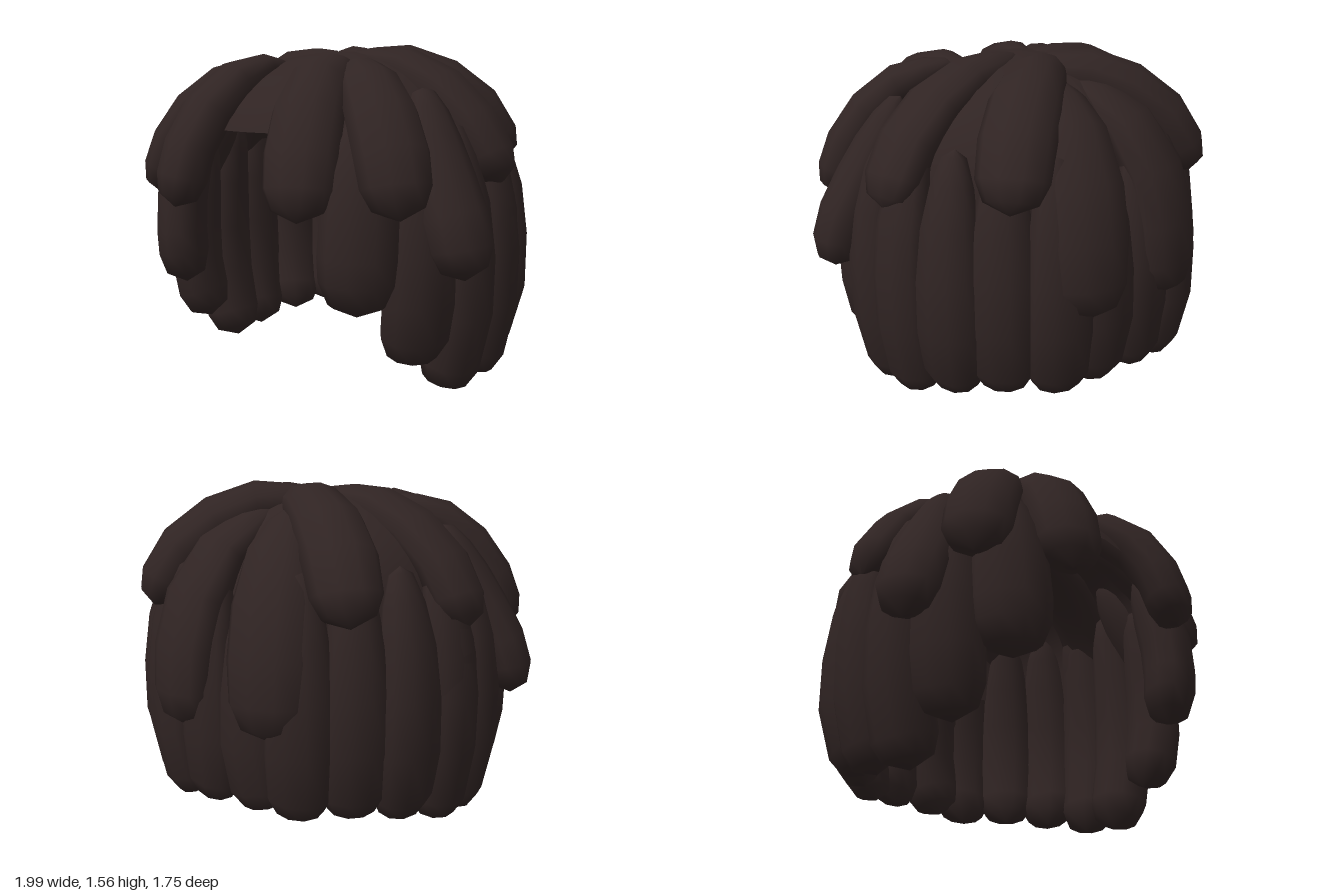
import * as THREE from 'three';

const hair = new THREE.MeshStandardMaterial({ color: 0x302423, side: THREE.DoubleSide });
hair.name = 'dark brown hair';

// A flattened lock swept along a curve: narrow root, faceted blunt tip, flat side facing outwards.
function lock(name, points, halfWidth, halfDepth) {
  const curve = new THREE.CatmullRomCurve3(points.map(p => new THREE.Vector3(...p)));
  const length = curve.getLength();
  const sides = 10;
  const tip = Math.min(0.25, (halfWidth * 0.85) / length);
  const rings = [[0, 0], [0.03, 0.36], [0.14, 0.64], [0.3, 0.84], [0.5, 0.97], [0.7, 1],
    [1 - tip, 0.95], [1 - tip * 0.35, 0.7], [1, 0]];
  const position = [], index = [];
  const core = new THREE.Vector3(0, 0.75, 0);
  rings.forEach(([u, r], i) => {
    const p = curve.getPointAt(u), t = curve.getTangentAt(u);
    const n = p.clone().sub(core);
    if (p.y < 0.75) n.y = 0;
    n.addScaledVector(t, -n.dot(t)).normalize();
    const b = n.clone().cross(t);
    for (let j = 0; j < sides; j++) {
      const a = (j / sides) * Math.PI * 2;
      const q = p.clone()
        .addScaledVector(b, Math.cos(a) * halfWidth * r)
        .addScaledVector(n, Math.sin(a) * halfDepth * Math.min(1, r * 1.1));
      position.push(q.x, q.y, q.z);
      if (i < rings.length - 1) {
        const k = (j + 1) % sides, c = i * sides, d = c + sides;
        index.push(c + j, c + k, d + j, c + k, d + k, d + j);
      }
    }
  });
  const g = new THREE.BufferGeometry();
  g.setAttribute('position', new THREE.Float32BufferAttribute(position, 3));
  g.setIndex(index);
  g.computeVertexNormals();
  const mesh = new THREE.Mesh(g, hair);
  mesh.name = name;
  return mesh;
}

// Open dome under the locks, cut higher over the forehead.
function scalpCap() {
  const g = new THREE.SphereGeometry(1, 32, 12, 0, Math.PI * 2, 0, Math.PI / 2);
  g.rotateY(-Math.PI / 2);
  const pos = g.attributes.position;
  for (let i = 0; i < pos.count; i++) {
    const x = pos.getX(i), y = pos.getY(i), z = pos.getZ(i);
    const azimuth = Math.atan2(x, z);
    const k = 0.75 + 0.25 * THREE.MathUtils.smoothstep(Math.abs(azimuth), 0.4, 0.95);
    const theta = Math.acos(THREE.MathUtils.clamp(y, -1, 1)) * k;
    const s = Math.sin(theta);
    pos.setXYZ(i,
      Math.sin(azimuth) * s * 0.74,
      0.82 + Math.pow(Math.max(0, Math.cos(theta)), 0.75) * 0.71,
      Math.cos(azimuth) * s * (z > 0 ? 0.735 : 0.67));
  }
  g.computeVertexNormals();
  const mesh = new THREE.Mesh(g, hair);
  mesh.name = 'scalpCap';
  return mesh;
}

export function createModel() {
  const model = new THREE.Group();
  model.name = 'hairpiece';
  model.add(scalpCap());

  // Upper and middle locks of one side: name, centre line, half width, half depth
  const locks = [
    ['innerFringe', [[0.2, 1.45, 0.22], [0.25, 1.4, 0.47], [0.33, 1.18, 0.68], [0.38, 0.81, 0.79]], 0.165, 0.115],
    ['outerFringe', [[0.24, 1.46, 0.24], [0.48, 1.35, 0.41], [0.66, 1.12, 0.52], [0.75, 0.83, 0.57]], 0.165, 0.11],
    ['templeLock', [[0.5, 1.25, 0.5], [0.56, 0.8, 0.59], [0.54, 0.4, 0.59]], 0.18, 0.125],
    ['sideLock', [[0.58, 1.36, 0.18], [0.71, 1.07, 0.255], [0.86, 0.77, 0.31], [0.9, 0.56, 0.31]], 0.16, 0.115],
    ['crownSideLock', [[0.04, 1.5, 0], [0.43, 1.41, -0.03], [0.69, 1.21, -0.05], [0.84, 0.93, -0.08]], 0.17, 0.11],
    ['crownBackLock', [[-0.1, 1.47, -0.11], [0.2, 1.44, -0.32], [0.44, 1.25, -0.51], [0.55, 0.98, -0.6]], 0.17, 0.12],
    ['backLock', [[0.06, 1.44, -0.28], [0.18, 1.21, -0.6], [0.23, 0.9, -0.73], [0.24, 0.48, -0.76]], 0.195, 0.115],
    ['sideUnderLock', [[0.68, 1.25, -0.11], [0.78, 0.8, -0.12], [0.79, 0.34, -0.1]], 0.15, 0.1],
    ['templeUnderLock', [[0.64, 1.15, 0.35], [0.71, 0.75, 0.37], [0.7, 0.4, 0.37], [0.64, 0.16, 0.34]], 0.17, 0.125],
  ];

  // Long lower locks round the sides and back: x, z, tip height, tip x, tip z, half depth
  const lower = [
    [0.76, 0.12, 0, 0.67, 0.12, 0.135], [0.77, -0.11, 0.02, 0.69, -0.08, 0.12],
    [0.69, -0.35, 0.08, 0.61, -0.28, 0.115], [0.53, -0.52, 0.1, 0.47, -0.46, 0.105],
    [0.34, -0.68, 0.1, 0.29, -0.61, 0.105], [0.125, -0.71, 0.12, 0.15, -0.64, 0.105],
  ];
  lower.forEach(([x, z, tipY, tipX, tipZ, depth], i) => {
    locks.push(['lowerLock' + (i + 1),
      [[x * 0.9, 1.22, z * 0.9], [x, 0.8, z], [x, 0.35, z], [tipX, tipY, tipZ]],
      0.16, depth]);
  });

  for (const side of [1, -1]) {
    for (const [name, points, w, d] of locks) {
      const mirrored = points.map(([x, y, z]) => [x * side, y, z]);
      model.add(lock(name + (side > 0 ? 'Left' : 'Right'), mirrored, w, d));
    }
  }
  return model;
}
